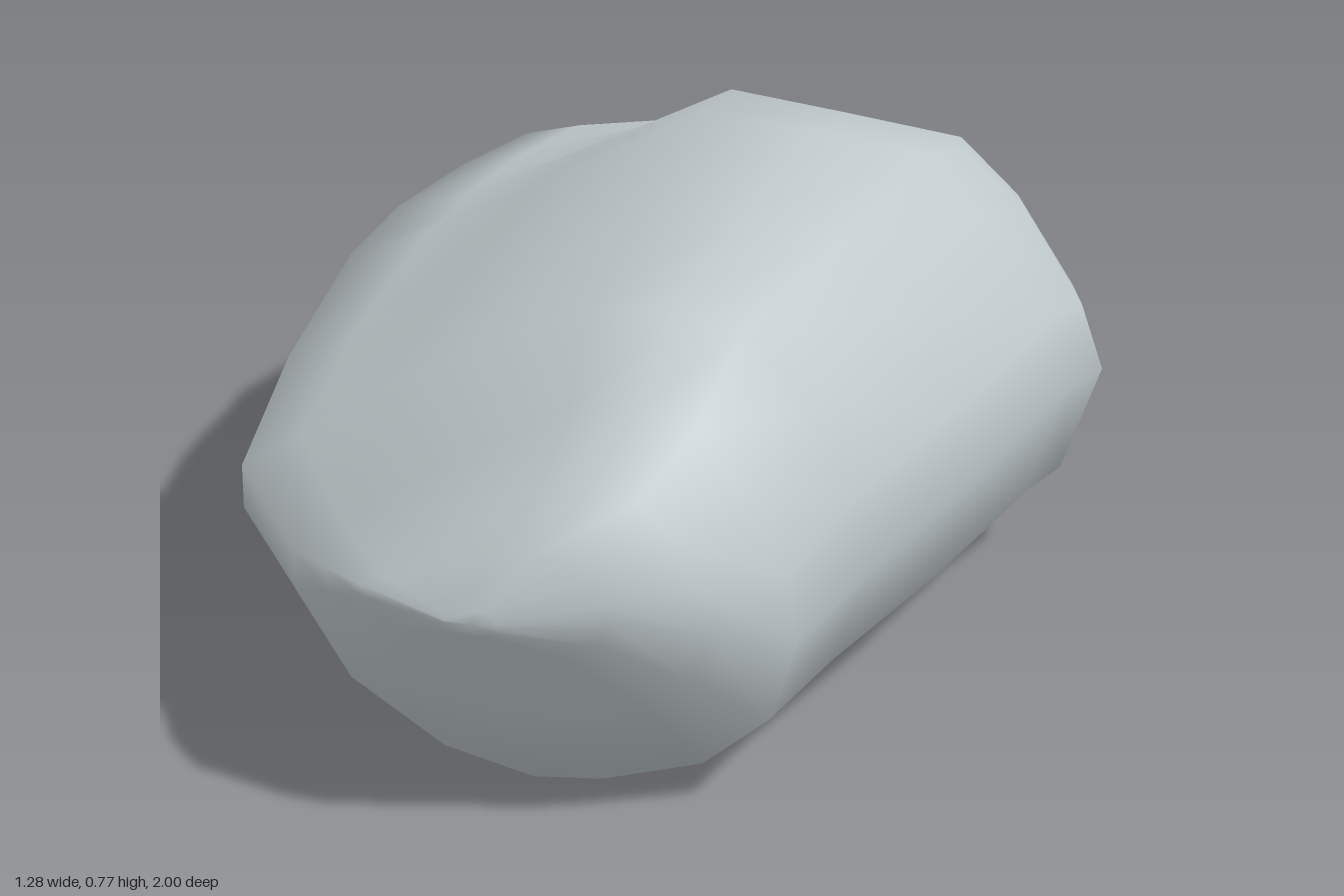
import * as THREE from 'three';

// Cross-sections, counter-clockwise seen from the front, in 0..1 of width and height
const MIDDLE = [
  [0, 0.59], [0, 0.38], [0.11, 0.15], [0.3, 0.06], [0.5, 0.01], [0.65, 0],
  [0.84, 0.1], [0.95, 0.2], [1, 0.45], [0.97, 0.6], [0.89, 0.81], [0.81, 0.94],
  [0.65, 0.97], [0.49, 1], [0.27, 0.79], [0.11, 0.65],
];
const FRONT = [
  [0, 0.52], [0, 0.42], [0.11, 0.2], [0.3, 0.05], [0.48, 0], [0.62, 0.02],
  [0.82, 0.1], [0.95, 0.24], [1, 0.45], [0.98, 0.62], [0.92, 0.8], [0.81, 0.96],
  [0.7, 1], [0.56, 0.97], [0.28, 0.77], [0.1, 0.61],
];
const BACK = [
  [0, 0.96], [0.02, 0.7], [0.12, 0.4], [0.3, 0.2], [0.5, 0.08], [0.65, 0.02],
  [0.82, 0], [0.95, 0.1], [1, 0.25], [1, 0.45], [0.95, 0.68], [0.87, 0.82],
  [0.7, 0.92], [0.5, 0.97], [0.27, 1], [0.1, 1],
];

// Slices from front to back: z, xMin, xMax, yMin, yMax, shape (1 front, 0 middle, -1 back)
const SLICES = [
  [1.0, -0.06, 0.02, 0.35, 0.39, 1],
  [0.96, -0.2, 0.17, 0.3, 0.47, 1],
  [0.89, -0.28, 0.3, 0.18, 0.55, 1],
  [0.77, -0.38, 0.39, 0.01, 0.63, 1],
  [0.6, -0.53, 0.45, 0.01, 0.715, 1],
  [0.28, -0.58, 0.54, 0.015, 0.76, 0.6],
  [-0.08, -0.61, 0.61, 0.02, 0.78, 0.1],
  [-0.22, -0.625, 0.64, 0.015, 0.75, 0],
  [-0.38, -0.64, 0.59, 0.01, 0.71, -0.05],
  [-0.55, -0.58, 0.53, 0, 0.64, -0.35],
  [-0.72, -0.52, 0.46, 0.015, 0.56, -0.65],
  [-0.86, -0.46, 0.4, 0.03, 0.47, -0.9],
  [-0.955, -0.42, 0.32, 0.1, 0.405, -1],
  [-1.0, -0.29, 0.18, 0.18, 0.32, -1],
];

// Lofts the blended sections through all slices and closes both ends with a fan
function loft() {
  const n = MIDDLE.length;
  const positions = [];
  const index = [];
  for (const [z, x0, x1, y0, y1, shape] of SLICES) {
    const target = shape > 0 ? FRONT : BACK;
    MIDDLE.forEach(([mu, mv], j) => {
      const u = THREE.MathUtils.lerp(mu, target[j][0], Math.abs(shape));
      const v = THREE.MathUtils.lerp(mv, target[j][1], Math.abs(shape));
      positions.push(x0 + (x1 - x0) * u, y0 + (y1 - y0) * v, z);
    });
  }
  for (let i = 0; i < SLICES.length - 1; i++) {
    for (let j = 0; j < n; j++) {
      const a = i * n + j;
      const b = i * n + ((j + 1) % n);
      index.push(a, a + n, b, b, a + n, b + n);
    }
  }
  const addCap = (slice, front) => {
    const [z, x0, x1, y0, y1] = SLICES[slice];
    const centre = positions.length / 3;
    positions.push((x0 + x1) / 2, (y0 + y1) / 2, z);
    for (let j = 0; j < n; j++) {
      const a = slice * n + j;
      const b = slice * n + ((j + 1) % n);
      index.push(centre, front ? a : b, front ? b : a);
    }
  };
  addCap(0, true);
  addCap(SLICES.length - 1, false);

  const geometry = new THREE.BufferGeometry();
  geometry.setAttribute('position', new THREE.Float32BufferAttribute(positions, 3));
  geometry.setIndex(index);
  geometry.computeVertexNormals();
  return geometry;
}

export function createModel() {
  const group = new THREE.Group();
  group.name = 'rock';

  const stone = new THREE.MeshStandardMaterial({ color: 0xc0c9cc });
  stone.name = 'stone grey';

  // Single smooth boulder
  const boulder = new THREE.Mesh(loft(), stone);
  boulder.name = 'boulder';
  group.add(boulder);
  return group;
}
